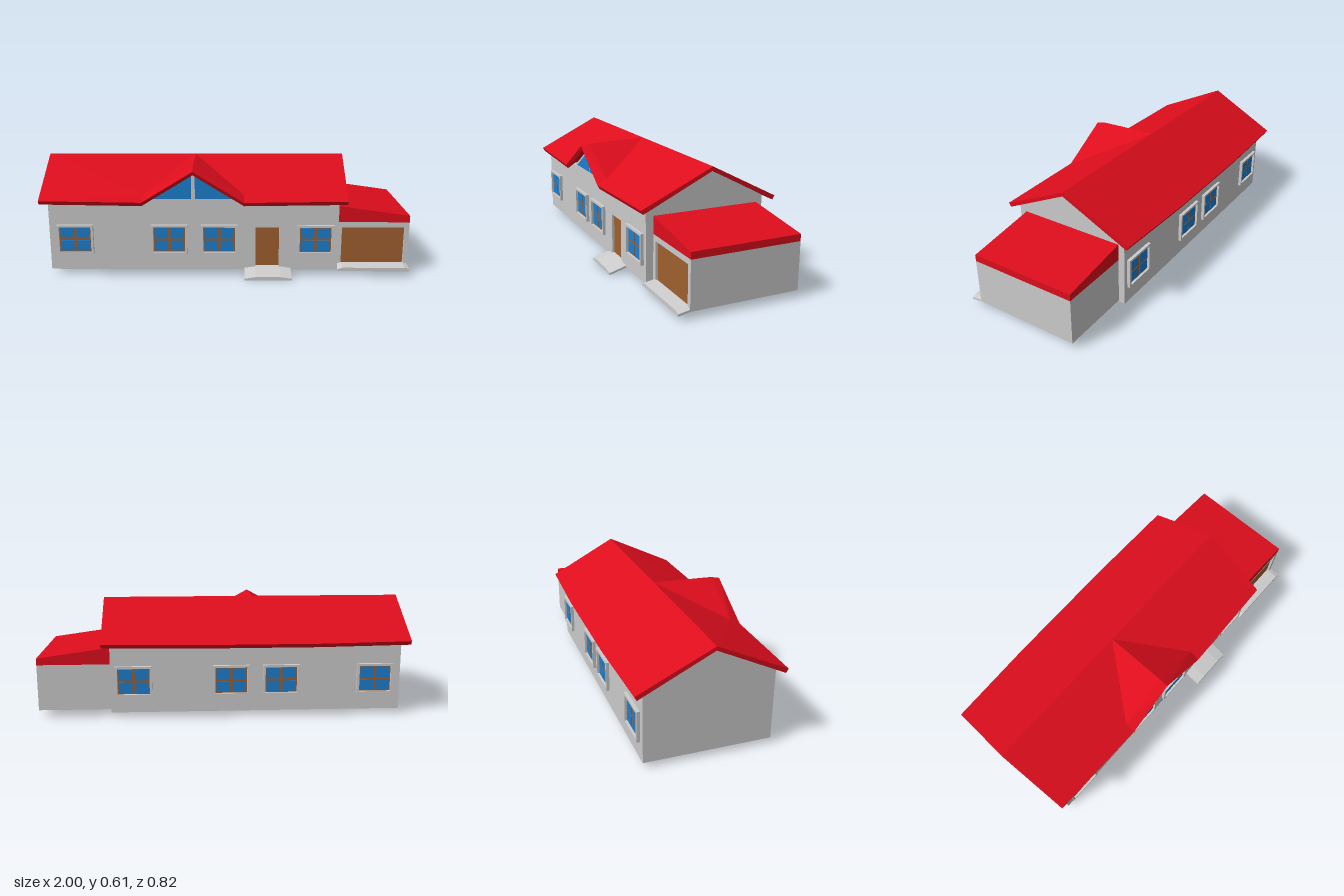
import * as THREE from 'three';

const mat = (color) => new THREE.MeshStandardMaterial({ color, flatShading: true, side: THREE.DoubleSide });
const grey = mat(0xcccccc), red = mat(0xdd0d1c), brown = mat(0xa06030), blue = mat(0x1c7fd0);

export function createModel() {
  const house = new THREE.Group();
  house.name = 'house';

  const add = (name, geo, material, parent = house) => {
    const m = new THREE.Mesh(geo, material);
    m.name = name;
    parent.add(m);
    return m;
  };
  const poly = (pts) => new THREE.Shape(pts.map(([x, y]) => new THREE.Vector2(x, y)));
  const rect = (x0, x1, y0, y1) => [[x0, y0], [x1, y0], [x1, y1], [x0, y1]];
  // Outline in x,y (with optional holes) extruded from z0 to z1
  const panel = (pts, z0, z1, holes = []) => {
    const s = poly(pts);
    holes.forEach((h) => s.holes.push(poly(h)));
    return new THREE.ExtrudeGeometry(s, { depth: z1 - z0, bevelEnabled: false }).translate(0, 0, z0);
  };
  const box = (x0, x1, y0, y1, z0, z1) => panel(rect(x0, x1, y0, y1), z0, z1);

  // Main walls: gabled section run along x, plus a front wall with a door opening
  const section = [[-0.345, 0.03], [-0.345, 0.415], [-0.02, 0.583], [0.295, 0.428], [0.295, 0.03]];
  const walls = panel(section.map(([z, y]) => [-z, y]), -0.945, 0.61).rotateY(Math.PI / 2);
  add('mainWalls', walls, grey);
  const door = rect(0.165, 0.292, 0.045, 0.268);
  add('frontWall', panel(rect(-0.945, 0.61, 0.03, 0.417), 0.295, 0.315, [door]), grey);
  add('frontDoor', panel(door, 0.29, 0.302), brown);

  // Gable wall and twin windows below the front gable
  add('gableWall', panel([[-0.43, 0.41], [0.09, 0.41], [0.08, 0.425], [-0.17, 0.573], [-0.42, 0.425]], 0.28, 0.315), grey);
  for (const s of [-1, 1]) {
    const pts = [[0.01, 0.428], [0.215, 0.428], [0.01, 0.553]].map(([x, y]) => [-0.17 + s * x, y]);
    add('gableWindow', panel(pts, 0.31, 0.318), blue);
  }

  // Roof slab: fan over the top outline, with an underside and edges; eaves cut square to the slope
  const slab = (name, top) => {
    const low = top.map(([x, y, z]) => [x, y - 0.021, Math.abs(z) > 0.34 ? z - Math.sign(z) * 0.012 : z]);
    const v = [];
    const n = top.length;
    for (let i = 0; i < n; i++) {
      const j = (i + 1) % n;
      if (i > 0 && j > 0) v.push(top[0], top[i], top[j], low[0], low[j], low[i]);
      v.push(top[i], low[i], low[j], top[i], low[j], top[j]);
    }
    const g = new THREE.BufferGeometry();
    g.setAttribute('position', new THREE.Float32BufferAttribute(v.flat(), 3));
    g.computeVertexNormals();
    add(name, g, red);
  };
  const ridge = { '-1': [-1, 0.606, -0.02], 1: [0.665, 0.606, -0.02] };
  const eaveX = { '-1': -0.985, 1: 0.65 };
  const apex = [-0.17, 0.606, -0.02], peak = [-0.17, 0.596, 0.315], tip = [-0.17, 0.585, 0.366];
  slab('backRoof', [[-0.5, 0.408, -0.409], [0.15, 0.408, -0.409], [0.65, 0.413, -0.397],
    ridge[1], ridge[-1], [-0.985, 0.413, -0.397]]);
  for (const s of [-1, 1]) {
    const valley = [-0.17 + s * 0.27, 0.449, 0.315], corner = [-0.17 + s * 0.27, 0.42, 0.371];
    slab('frontRoof', [valley, corner, [eaveX[s], 0.424, 0.358], ridge[s], apex]);
    slab('gableRoof', [valley, apex, peak]);
    slab('gableOverhang', [valley, peak, tip, corner]);
  }

  // Windows: raised grey frame, brown sash and four panes, on front and back
  const makeWindow = () => {
    const g = new THREE.Group();
    g.name = 'window';
    add('frame', panel(rect(-0.098, 0.098, -0.082, 0.082), 0, 0.017, [rect(-0.085, 0.085, -0.07, 0.07)]), grey, g);
    add('sash', box(-0.086, 0.086, -0.071, 0.071, -0.002, 0.004), brown, g);
    for (const x of [-0.043, 0.043])
      for (const y of [-0.035, 0.035])
        add('pane', box(x - 0.036, x + 0.036, y - 0.029, y + 0.029, 0, 0.006), blue, g);
    return g;
  };
  for (const x of [-0.807, -0.3, -0.032, 0.487]) {
    const front = makeWindow(), back = makeWindow();
    front.position.set(x, 0.202, 0.315);
    back.position.set(x, 0.202, -0.345);
    back.rotation.y = Math.PI;
    house.add(front, back);
  }

  // Garage with a recessed door and a lean-to roof
  const opening = rect(0.635, 0.975, 0.052, 0.257);
  add('garageWalls', box(0.61, 1, 0.038, 0.287, -0.31, 0.255), grey);
  add('garageFrontWall', panel(rect(0.61, 1, 0.038, 0.287), 0.255, 0.275, [opening]), grey);
  add('garageDoor', panel(opening, 0.25, 0.262), brown);
  add('garageRoof', panel([[0.61, 0.287], [1, 0.287], [1, 0.323], [0.61, 0.378]], -0.31, 0.275), red);

  // Ramps: thin sections with chamfered sides, sheared down towards the front
  const ramp = (name, x0, x1, inset, z0, z1, y, drop) => {
    const pts = [[x0, y], [x1, y], [x1, y + 0.011], [x1 - inset, y + 0.02], [x0 + inset, y + 0.02], [x0, y + 0.011]];
    const g = panel(pts, z0, z1);
    const p = g.attributes.position;
    for (let i = 0; i < p.count; i++) p.setY(i, p.getY(i) - drop * (p.getZ(i) - z0) / (z1 - z0));
    g.computeVertexNormals();
    add(name, g, grey);
  };
  ramp('doorRamp', 0.105, 0.357, 0.06, 0.305, 0.408, 0.03, 0.03);
  ramp('garageRamp', 0.61, 1, 0.025, 0.272, 0.335, 0.038, 0.011);

  return house;
}
